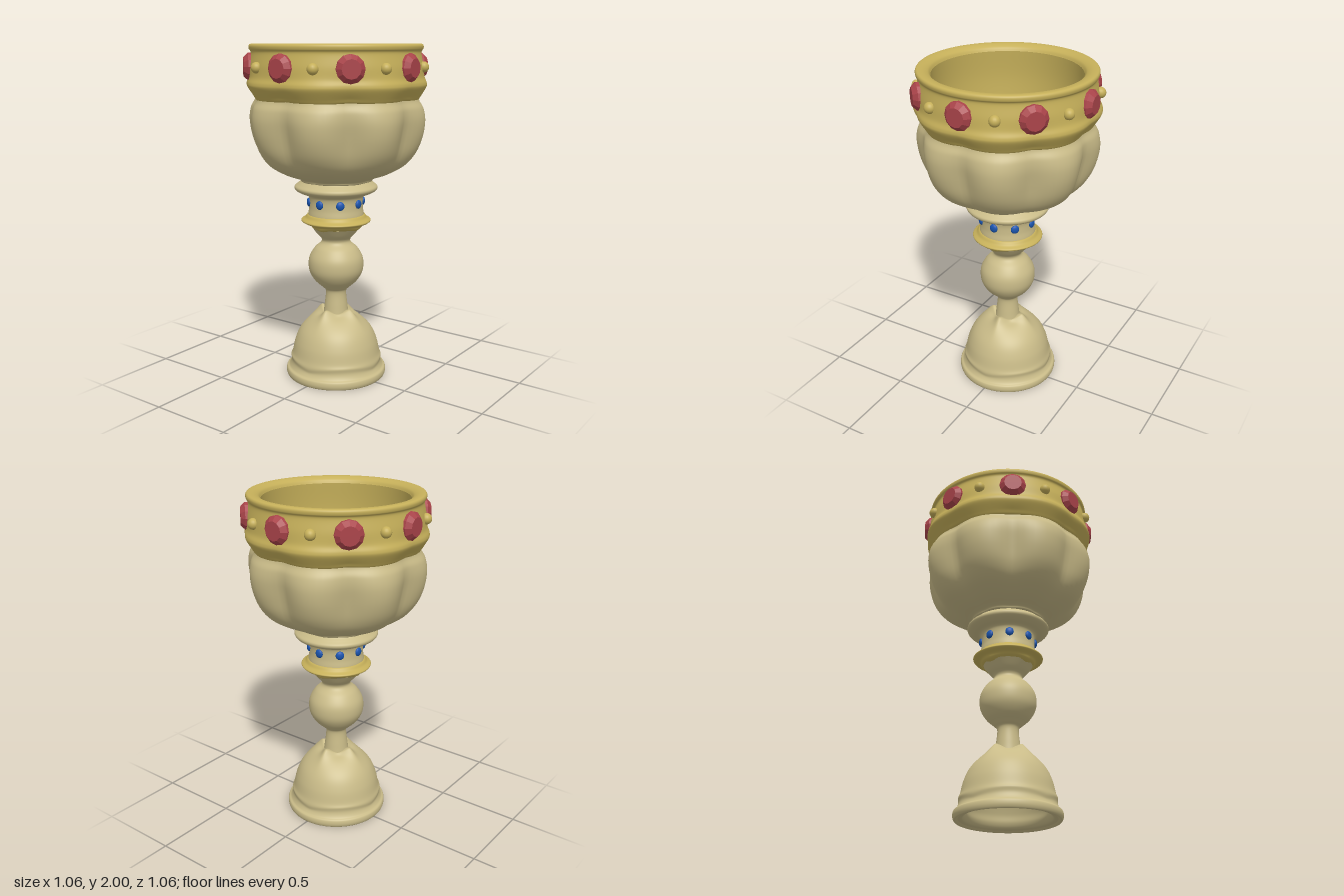
import * as THREE from 'three';
import { mergeVertices } from 'three/addons/utils/BufferGeometryUtils.js';

const COUNT = 8;
const bump = (y, centre, width) => Math.exp(-(((y - centre) / width) ** 2));

function material(color, flatShading = false) {
  return new THREE.MeshStandardMaterial({ color, flatShading, side: THREE.DoubleSide });
}

// Valley shapes around the axis: 0 on a lobe or ridge, 1 in the crease between
const roundLobes = (a) => 1 - Math.sqrt((Math.sin(a * 4) ** 2 + 0.03) / 1.03);
const fourRidges = (a) => Math.sqrt((Math.sin(a * 2) ** 2 + 0.01) / 1.01);

// Smooth lathe through a few [radius, y] points (bottom to top outside).
// groove(y) is the depth of the valleys, wave(y) the vertical scallop.
function turned(name, points, mat, { valley, groove, wave } = {}) {
  const curve = new THREE.SplineCurve(points.map(([r, y]) => new THREE.Vector2(r, y)));
  const profile = curve.getPoints(points.length * 6);
  profile.forEach((p) => { p.x = Math.max(p.x, 0); });
  let geo = new THREE.LatheGeometry(profile, 96);
  geo.deleteAttribute('uv');
  geo.deleteAttribute('normal');
  geo = mergeVertices(geo, 1e-5);
  const pos = geo.attributes.position;
  for (let i = 0; valley && i < pos.count; i++) {
    const x = pos.getX(i), y = pos.getY(i), z = pos.getZ(i);
    const r = Math.hypot(x, z);
    const v = valley(Math.atan2(x, z));
    const k = (r - groove(y) * v) / r;
    pos.setXYZ(i, x * k, y + wave(y) * (v - 0.3), z * k);
  }
  geo.computeVertexNormals();
  const mesh = new THREE.Mesh(geo, mat);
  mesh.name = name;
  return mesh;
}

// Ring of eight copies facing outward
function ring(name, geo, mat, radius, y, offset = 0) {
  const group = new THREE.Group();
  group.name = name;
  for (let i = 0; i < COUNT; i++) {
    const a = (i + offset) * Math.PI * 2 / COUNT;
    const mesh = new THREE.Mesh(geo, mat);
    mesh.name = name + (i + 1);
    mesh.position.set(Math.sin(a) * radius, y, Math.cos(a) * radius);
    mesh.rotation.y = a;
    group.add(mesh);
  }
  return group;
}

export function createModel() {
  const goblet = new THREE.Group();
  goblet.name = 'goblet';
  const brass = material(0xc9bb88);
  const gold = material(0xc6b05a);
  const red = material(0xaa444a, true);
  const blue = material(0x1a55b0);

  // Foot draped over four ridges, with a hollow underside
  goblet.add(turned('foot', [
    [0.275, 0.015], [0.295, 0.005], [0.305, 0.025], [0.302, 0.05], [0.286, 0.062],
    [0.274, 0.085], [0.276, 0.115], [0.266, 0.15], [0.25, 0.22], [0.22, 0.29],
    [0.17, 0.36], [0.118, 0.412], [0.095, 0.418], [0.066, 0.405],
  ], brass, {
    valley: fourRidges,
    groove: (y) => 0.035 * bump(y, 0.4, 0.06),
    wave: (y) => 0.02 * bump(y, 0.1, 0.03) - 0.03 * bump(y, 0.415, 0.03),
  }));
  goblet.add(turned('footHollow', [
    [0.275, 0.015], [0.25, 0.02], [0.232, 0.05], [0.225, 0.1], [0.195, 0.18],
    [0.13, 0.26], [0.05, 0.31], [0, 0.32],
  ], brass));

  // Stem with round knop, neck and collar
  goblet.add(turned('stem', [
    [0.078, 0.38], [0.07, 0.44], [0.062, 0.53], [0.085, 0.56], [0.128, 0.6],
    [0.158, 0.65], [0.166, 0.7], [0.158, 0.75], [0.128, 0.8], [0.09, 0.835],
    [0.088, 0.86], [0.115, 0.89], [0.145, 0.93],
  ], brass));
  goblet.add(turned('collar', [
    [0.15, 0.97], [0.166, 1.0], [0.16, 1.05], [0.16, 1.1], [0.172, 1.128], [0.21, 1.14],
    [0.24, 1.157], [0.245, 1.177], [0.225, 1.195], [0.205, 1.212], [0.2, 1.23],
  ], brass));
  goblet.add(turned('stemRing', [
    [0.06, 0.91], [0.125, 0.918], [0.16, 0.932], [0.175, 0.952], [0.203, 0.964],
    [0.207, 0.976], [0.185, 0.99], [0.17, 1.008], [0.15, 1.012],
  ], gold, {
    valley: fourRidges,
    groove: (y) => 0.008 * bump(y, 0.935, 0.025),
    wave: (y) => 0.012 * bump(y, 0.93, 0.025),
  }));

  // Eight-lobed bowl, creased beneath each gem
  goblet.add(turned('bowl', [
    [0.1, 1.205], [0.205, 1.21], [0.23, 1.23], [0.315, 1.26], [0.41, 1.315], [0.472, 1.39],
    [0.508, 1.48], [0.52, 1.57], [0.508, 1.64], [0.48, 1.69], [0.465, 1.75],
  ], brass, {
    valley: roundLobes,
    groove: (y) => 0.07 * bump(y, 1.5, 0.2),
    wave: () => 0,
  }));

  // Crown band with rolled rim, and the lining
  goblet.add(turned('band', [
    [0.445, 1.7], [0.472, 1.69], [0.492, 1.715], [0.52, 1.76], [0.522, 1.785],
    [0.508, 1.82], [0.5, 1.88], [0.487, 1.95], [0.497, 1.972], [0.498, 1.99],
    [0.486, 2.0], [0.455, 1.998], [0.428, 1.985], [0.416, 1.965],
  ], gold, {
    valley: roundLobes,
    groove: (y) => 0.02 * bump(y, 1.74, 0.1),
    wave: (y) => 0.012 * bump(y, 1.7, 0.03),
  }));
  goblet.add(turned('lining', [
    [0.416, 1.965], [0.425, 1.8], [0.412, 1.62], [0.39, 1.5], [0.345, 1.4],
    [0.27, 1.32], [0.17, 1.265], [0.1, 1.26], [0, 1.26],
  ], gold));

  // Faceted gems and studs around the band
  const gemProfile = [[0, -0.03], [0.078, -0.03], [0.078, 0.008], [0.052, 0.034], [0, 0.034]];
  const gem = new THREE.LatheGeometry(gemProfile.map(([r, h]) => new THREE.Vector2(r, h)), 12);
  gem.rotateX(Math.PI / 2);
  goblet.add(ring('redGem', gem, red, 0.496, 1.873));
  goblet.add(ring('stud', new THREE.SphereGeometry(0.031, 20, 14), gold, 0.505, 1.873, 0.5));

  // Small cabochons on the neck
  const cabochon = new THREE.SphereGeometry(0.026, 20, 14);
  cabochon.scale(0.95, 1, 0.5);
  goblet.add(ring('blueGem', cabochon, blue, 0.162, 1.083));

  return goblet;
}
